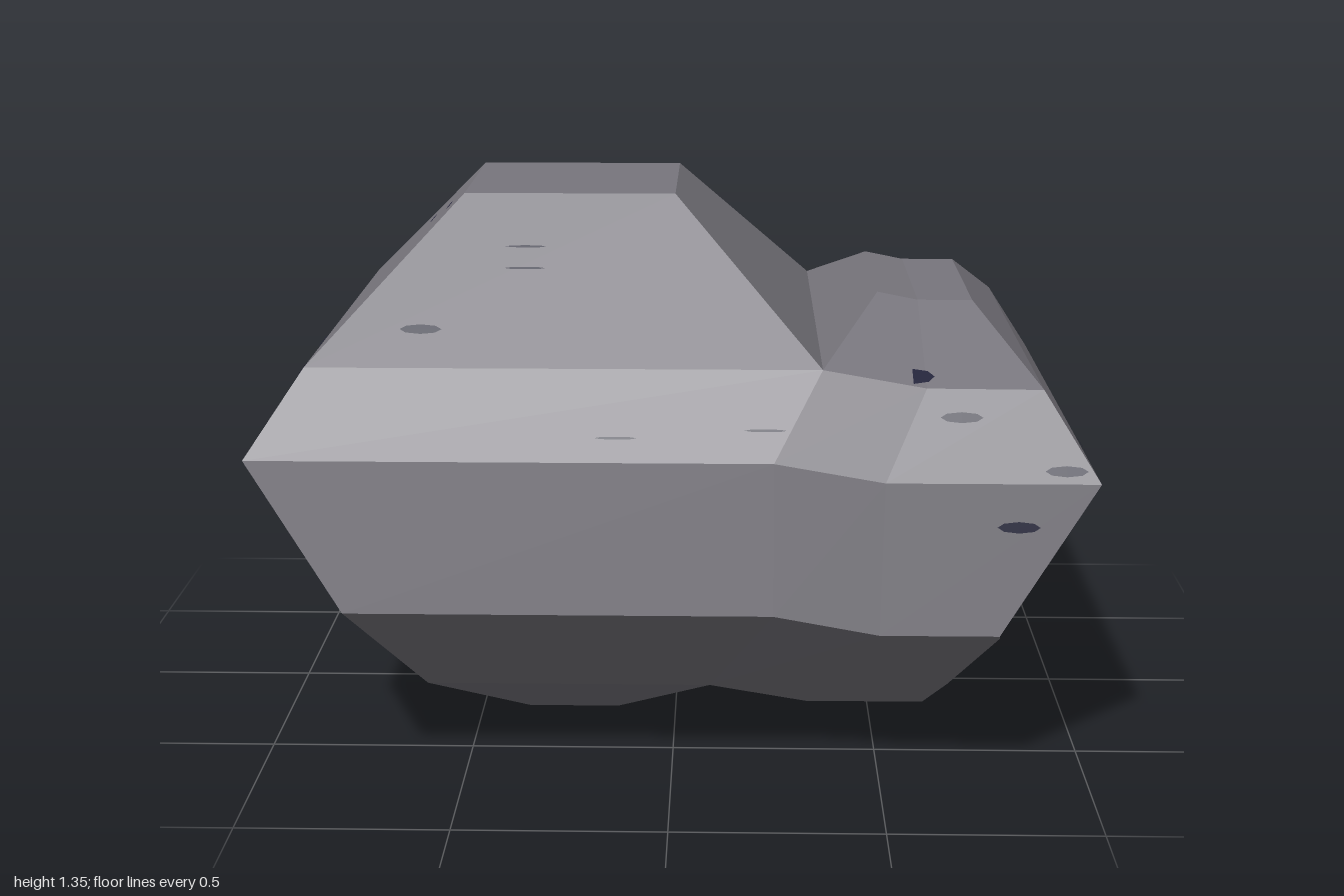
import * as THREE from 'three';

const rock = new THREE.MeshStandardMaterial({ color: 0x78767d, flatShading: true });
rock.name = 'grey rock';
const dark = new THREE.MeshStandardMaterial({ color: 0x22233a, side: THREE.DoubleSide });
dark.name = 'dark crack';

// A ring: a front row of [x, y] points at zFront, returning along zBack
function ring(row, zFront, zBack) {
  const front = row.map(([x, y]) => [x, y, zFront]);
  const back = row.map(([x, y]) => [x, y, zBack]).reverse();
  return [...front, ...back];
}

// Quads joining a lower ring to an upper ring; skip leaves one side open
function band(lower, upper, skip = -1) {
  const quads = [];
  lower.forEach((p, i) => {
    const j = (i + 1) % lower.length;
    if (i !== skip) quads.push([p, lower[j], upper[j], upper[i]]);
  });
  return quads;
}

// Strips that close a ring, facing up or down
function cap(r, down = false) {
  const quads = [];
  const n = r.length;
  for (let i = 0; i < n / 2 - 1; i++) {
    const q = [r[i], r[i + 1], r[n - 2 - i], r[n - 1 - i]];
    quads.push(down ? q.reverse() : q);
  }
  return quads;
}

function stone(name, quads) {
  const points = quads.flatMap(([a, b, c, d]) => [a, b, c, a, c, d]).flat();
  const geo = new THREE.BufferGeometry();
  geo.setAttribute('position', new THREE.Float32BufferAttribute(points, 3));
  geo.computeVertexNormals();
  const mesh = new THREE.Mesh(geo, rock);
  mesh.name = name;
  return mesh;
}

// Dark flecks at [along, y] on a sloping facet that runs from [y, depth] low to high,
// turned by yaw to face the wanted side
function cracks(name, yaw, low, high, height, spots) {
  const group = new THREE.Group();
  group.name = name;
  const normal = new THREE.Vector3(0, low[1] - high[1], high[0] - low[0]).normalize();
  for (const [along, y] of spots) {
    const depth = THREE.MathUtils.mapLinear(y, low[0], high[0], low[1], high[1]);
    const fleck = new THREE.Mesh(new THREE.CircleGeometry(0.5, 8), dark);
    fleck.name = 'crack';
    fleck.scale.set(0.1, height, 1);
    fleck.position.set(along, y, depth).addScaledVector(normal, 0.005);
    fleck.lookAt(fleck.position.clone().add(normal));
    group.add(fleck);
  }
  group.rotation.y = yaw;
  return group;
}

export function createModel() {
  const group = new THREE.Group();
  group.name = 'boulder';

  // Main rings, from shoulder down to the foot
  const shoulder = [[-0.87, 0.99], [0.355, 0.99], [0.6, 0.947], [0.875, 0.945]];
  const foot = [[-0.615, 0.15], [0.09, 0.15], [0.33, 0.11], [0.62, 0.11]];
  const shoulderRing = ring(shoulder, 0.585, -0.645);
  const waistRing = ring([[-1, 0.795], [0.24, 0.795], [0.5, 0.75], [1, 0.75]], 0.71, -0.77);
  const hipRing = ring([[-0.77, 0.44], [0.24, 0.44], [0.49, 0.395], [0.77, 0.395]], 0.765, -0.25);
  const footRing = ring(foot, 0.455, -0.25);

  group.add(stone('brow', band(waistRing, shoulderRing)));
  group.add(stone('body', band(hipRing, waistRing)));
  group.add(stone('underside', band(footRing, hipRing, 3)));

  // Large and small peaks
  const bigTop = ring([[-0.52, 1.35], [0, 1.35]], 0.23, -0.29);
  const bigBase = ring(shoulder.slice(0, 2), 0.585, -0.645);
  group.add(stone('largePeak', [...band(bigBase, bigTop), ...cap(bigTop)]));
  const smallTop = ring([[0.5, 1.11], [0.6, 1.09], [0.735, 1.09]], 0.245, -0.305);
  const smallBase = ring(shoulder.slice(1), 0.585, -0.645);
  group.add(stone('smallPeak', [...band(smallBase, smallTop), ...cap(smallTop)]));

  // Lower tip and the flat sole beside it
  const tip = ring([[-0.38, 0], [-0.15, 0]], 0.22, -0.01);
  const tipBase = ring(foot.slice(0, 2), 0.455, -0.25);
  group.add(stone('lowerTip', [...band(tip, tipBase), ...cap(tip, true)]));
  group.add(stone('sole', cap(ring(foot.slice(1), 0.455, -0.25), true)));

  // Chamfered knob on the +x side
  const base = [footRing[3], footRing[4], hipRing[4], hipRing[3]];
  const knob = [[0.69, 0.125, 0.37], [0.69, 0.125, -0.11], [0.795, 0.32, -0.11], [0.795, 0.32, 0.57]];
  group.add(stone('sideKnob', [...band(base, knob), knob]));

  // Front cracks
  const wide = 0.027, thin = 0.007;
  group.add(cracks('peakCrack', 0, [0.99, 0.585], [1.35, 0.23], wide, [[-0.6, 1.065]]));
  group.add(cracks('peakHairlines', 0, [0.99, 0.585], [1.35, 0.23], thin, [[-0.36, 1.235], [-0.36, 1.19]]));
  group.add(cracks('smallPeakCrack', 0, [0.947, 0.585], [1.09, 0.245], 0.06, [[0.57, 0.963]]));
  group.add(cracks('browCracks', 0, [0.75, 0.71], [0.945, 0.585], wide, [[0.68, 0.885], [0.92, 0.775]]));
  group.add(cracks('browHairlines', 0, [0.795, 0.71], [0.99, 0.585], thin, [[-0.13, 0.845], [0.22, 0.862]]));
  group.add(cracks('wallCrack', 0, [0.395, 0.765], [0.75, 0.71], wide, [[0.81, 0.65]]));

  // Side cracks
  const quarter = Math.PI / 2;
  group.add(cracks('sideHairlines', quarter, [0.75, 1], [0.945, 0.875], thin,
    [[-0.47, 0.79], [-0.47, 0.775], [0.59, 0.82]]));
  group.add(cracks('sidePeakCracks', -quarter, [0.99, 0.87], [1.35, 0.52], 0.018,
    [[-0.03, 1.24], [0.19, 1.31], [0.4, 1.01]]));
  group.add(cracks('sideBrowCrack', -quarter, [0.795, 1], [0.99, 0.87], wide, [[0.4, 0.94]]));

  // Back cracks
  group.add(cracks('backBrowCrack', Math.PI, [0.75, 0.77], [0.945, 0.645], 0.02, [[-0.36, 0.92]]));
  group.add(cracks('overhangCracks', Math.PI, [0.395, 0.25], [0.75, 0.77], wide,
    [[-0.87, 0.68], [-0.65, 0.54], [-0.2, 0.515]]));
  group.add(cracks('upperOverhangCracks', Math.PI, [0.44, 0.25], [0.795, 0.77], wide,
    [[-0.35, 0.61], [0.02, 0.65], [0.24, 0.655]]));
  return group;
}
